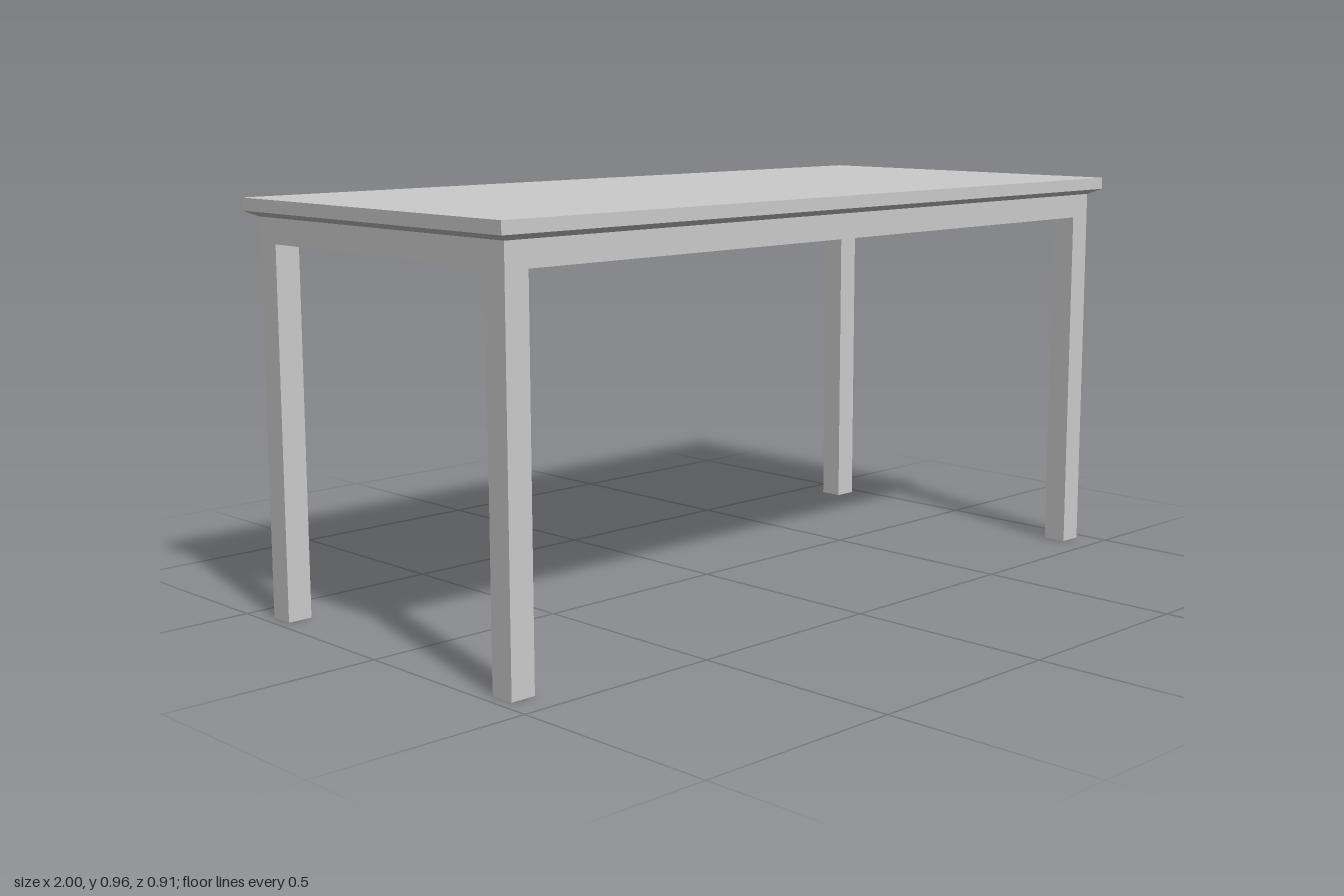
import * as THREE from 'three';

const TOP = { x: 1, z: 0.453 };        // half size of the table top
const FRAME = { x: 0.973, z: 0.427 };  // half size of the frame
const LEG = 0.06;
const Y = { frame: 0.86, bevel: 0.918, slab: 0.931, top: 0.96 };

export function createModel() {
  const table = new THREE.Group();
  table.name = 'table';
  const material = new THREE.MeshStandardMaterial({ color: 0xcccccc, flatShading: true });

  // Box centred on x and z, between two heights
  const block = (name, width, depth, y0, y1) => {
    const geometry = new THREE.BoxGeometry(width, y1 - y0, depth);
    const mesh = new THREE.Mesh(geometry, material);
    mesh.name = name;
    mesh.position.y = (y0 + y1) / 2;
    table.add(mesh);
    return mesh;
  };

  // Table top with straight edges
  block('tableTop', TOP.x * 2, TOP.z * 2, Y.slab, Y.top);

  // Chamfer under the top, tapering in to the frame
  const { geometry } = block('tableTopBevel', TOP.x * 2, TOP.z * 2, Y.bevel, Y.slab);
  const p = geometry.attributes.position;
  for (let i = 0; i < p.count; i++) {
    if (p.getY(i) < 0) {
      p.setX(i, Math.sign(p.getX(i)) * FRAME.x);
      p.setZ(i, Math.sign(p.getZ(i)) * FRAME.z);
    }
  }
  geometry.computeVertexNormals();

  // Solid frame with a flat underside
  block('frame', FRAME.x * 2, FRAME.z * 2, Y.frame, Y.bevel);

  // Square legs flush with the frame corners
  for (const [xName, sx] of [['Left', 1], ['Right', -1]]) {
    for (const [zName, sz] of [['front', 1], ['back', -1]]) {
      const leg = block(`${zName}${xName}Leg`, LEG, LEG, 0, Y.frame);
      leg.position.x = sx * (FRAME.x - LEG / 2);
      leg.position.z = sz * (FRAME.z - LEG / 2);
    }
  }
  return table;
}
